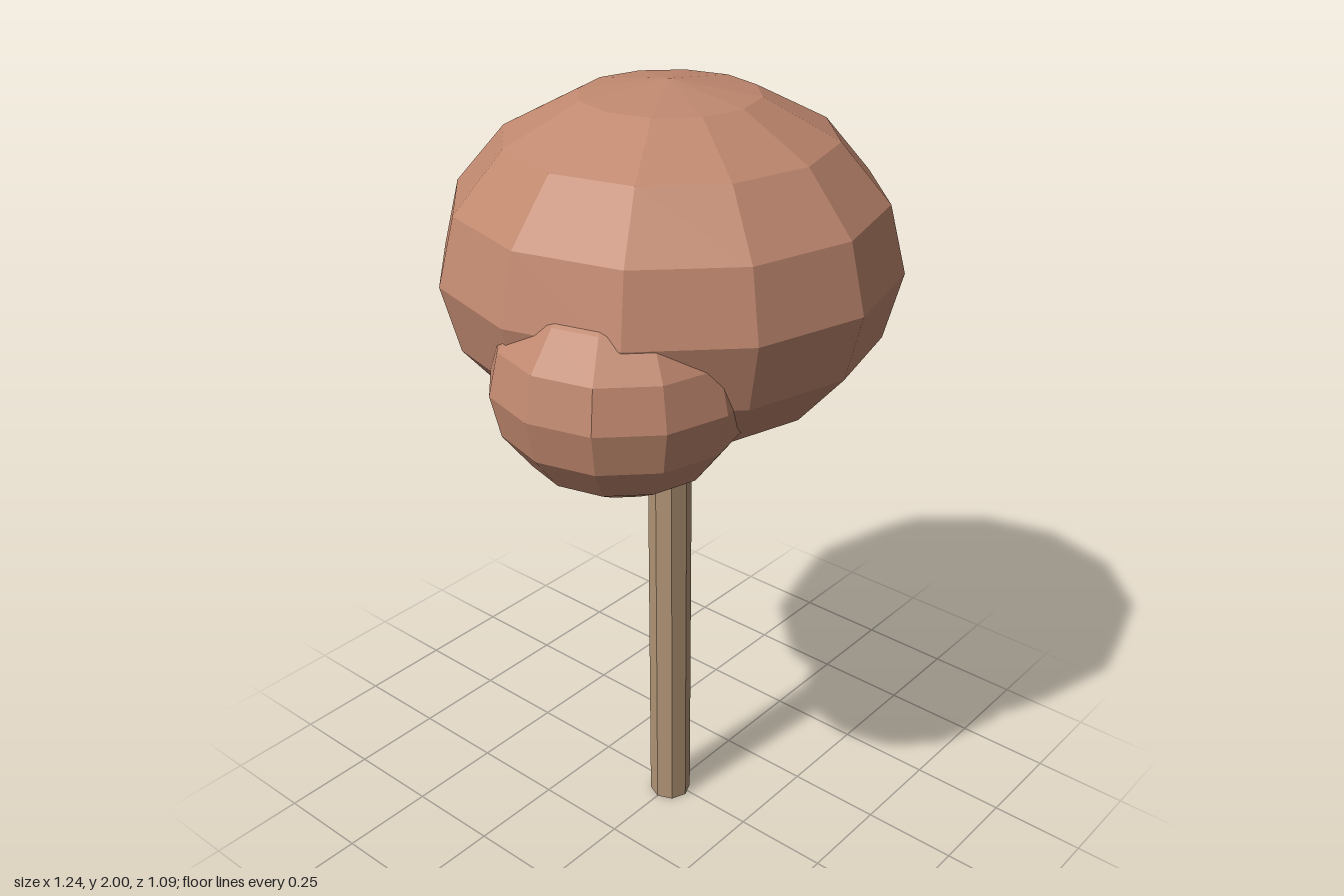
import * as THREE from 'three';

export function createModel() {
  const tree = new THREE.Group();
  tree.name = 'tree';

  const foliage = new THREE.MeshStandardMaterial({ color: 0xc0886f, flatShading: true });
  foliage.name = 'russet foliage';
  const bark = new THREE.MeshStandardMaterial({ color: 0xb09475, flatShading: true });
  bark.name = 'tan bark';

  // Straight eight-sided trunk, its top hidden inside the crown
  const trunkHeight = 1.3;
  const trunk = new THREE.Mesh(new THREE.CylinderGeometry(0.055, 0.055, trunkHeight, 8), bark);
  trunk.name = 'trunk';
  trunk.position.set(-0.015, trunkHeight / 2, 0);
  tree.add(trunk);

  // Flattened faceted ball of leaves
  function addLeafBall(name, position, radius, halfHeight) {
    const geometry = new THREE.SphereGeometry(1, 12, 8).scale(radius, halfHeight, radius);
    const ball = new THREE.Mesh(geometry, foliage);
    ball.name = name;
    ball.position.set(...position);
    tree.add(ball);
  }

  // Main crown with a smaller lobe on each side
  addLeafBall('crown', [-0.015, 1.58, 0], 0.545, 0.42);
  addLeafBall('leftLobe', [0.286, 1.398, -0.154], 0.332, 0.273);
  addLeafBall('rightLobe', [-0.318, 1.42, 0.12], 0.3, 0.263);

  return tree;
}
